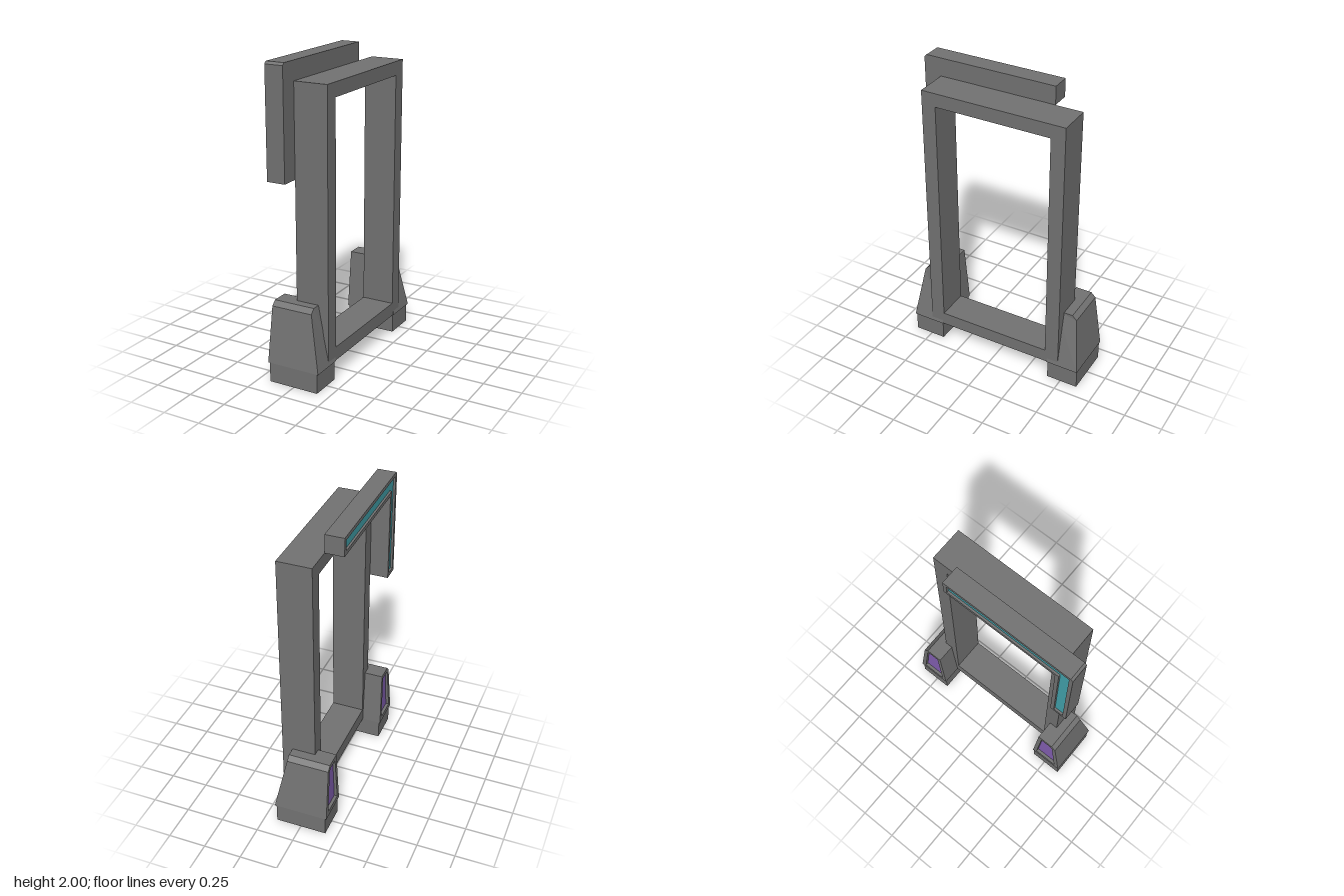
import * as THREE from 'three';

export function createModel() {
  const model = new THREE.Group();
  const grey = new THREE.MeshStandardMaterial({ color: 0x737373, side: THREE.DoubleSide });
  const teal = new THREE.MeshStandardMaterial({ color: 0x43a3ad });
  const purple = new THREE.MeshStandardMaterial({ color: 0x8460b4 });
  grey.name = 'grey metal';
  teal.name = 'teal panel';
  purple.name = 'purple panel';

  const points = (list, s) => list.map(([z, y]) => new THREE.Vector2(z * s, y));

  // Side profile in (z, y), extruded across x from x0 to x1; s = -1 mirrors in z
  function slab(outline, x0, x1, { hole, s = 1 } = {}) {
    const shape = new THREE.Shape(points(outline, s));
    if (hole) shape.holes.push(new THREE.Path(points(hole, s)));
    const geo = new THREE.ExtrudeGeometry(shape, { depth: x1 - x0, bevelEnabled: false });
    return geo.rotateY(-Math.PI / 2).translate(x1, 0, 0);
  }

  function add(parent, name, geo, material) {
    const mesh = new THREE.Mesh(geo, material);
    mesh.name = name;
    parent.add(mesh);
    return mesh;
  }

  const rect = (z0, z1, y0, y1) => [[z0, y0], [z1, y0], [z1, y1], [z0, y1]];

  // Main rectangular frame
  add(model, 'frame', slab(rect(-0.48, 0.485, 0.13, 1.88), -0.05, 0.172,
    { hole: rect(-0.385, 0.39, 0.22, 1.79) }), grey);

  // L-shaped corner bracket with a recessed light strip on its outer side
  const bracket = new THREE.Group();
  bracket.name = 'cornerBracket';
  model.add(bracket);
  const bracketOutline = [[-0.3, 1.88], [0.485, 1.88], [0.485, 1.29], [0.6, 1.29],
    [0.6, 1.985], [0.585, 2], [-0.3, 2]];
  const strip = [[-0.275, 1.905], [0.51, 1.905], [0.51, 1.315], [0.575, 1.315],
    [0.575, 1.975], [-0.275, 1.975]];
  add(bracket, 'bracketBody', slab(bracketOutline, -0.155, -0.05), grey);
  add(bracket, 'bracketRim', slab(bracketOutline, -0.172, -0.155, { hole: strip }), grey);
  add(bracket, 'bracketStrip', slab(strip, -0.158, -0.153), teal);

  // Feet, front and back
  const footOutline = [[0.4, 0.13], [0.622, 0.13], [0.57, 0.49], [0.54, 0.52], [0.43, 0.52]];
  const footPanel = [[0.43, 0.165], [0.585, 0.165], [0.545, 0.475], [0.53, 0.49], [0.455, 0.49]];
  for (const s of [1, -1]) {
    const foot = new THREE.Group();
    foot.name = s > 0 ? 'frontFoot' : 'backFoot';
    model.add(foot);

    // Tapered body: the upper edge of the +x side leans inward
    const body = slab(footOutline, -0.155, 0.177, { s });
    const pos = body.attributes.position;
    for (let i = 0; i < pos.count; i++) {
      if (pos.getX(i) > 0 && pos.getY(i) > 0.3) pos.setX(i, 0.103);
    }
    body.computeVertexNormals();
    add(foot, 'footBody', body, grey);

    // Raised rim around the recessed panel, leaning slightly
    const rim = slab(footOutline, -0.18, -0.155, { hole: footPanel, s });
    const rp = rim.attributes.position;
    for (let i = 0; i < rp.count; i++) {
      if (rp.getX(i) < -0.17) rp.setX(i, -0.18 + 0.006 * (rp.getY(i) - 0.13) / 0.39);
    }
    rim.computeVertexNormals();
    add(foot, 'footRim', rim, grey);
    add(foot, 'footPanel', slab(footPanel, -0.159, -0.153, { s }), purple);

    // Hollow base: only the four upright walls of a box
    const base = new THREE.BoxGeometry(0.337, 0.13, 0.213);
    base.setIndex(Array.from(base.index.array).filter((_, i) => i < 12 || i >= 24));
    base.clearGroups();
    add(foot, 'footBase', base, grey).position.set(-0.002, 0.065, s * 0.511);
  }
  return model;
}
